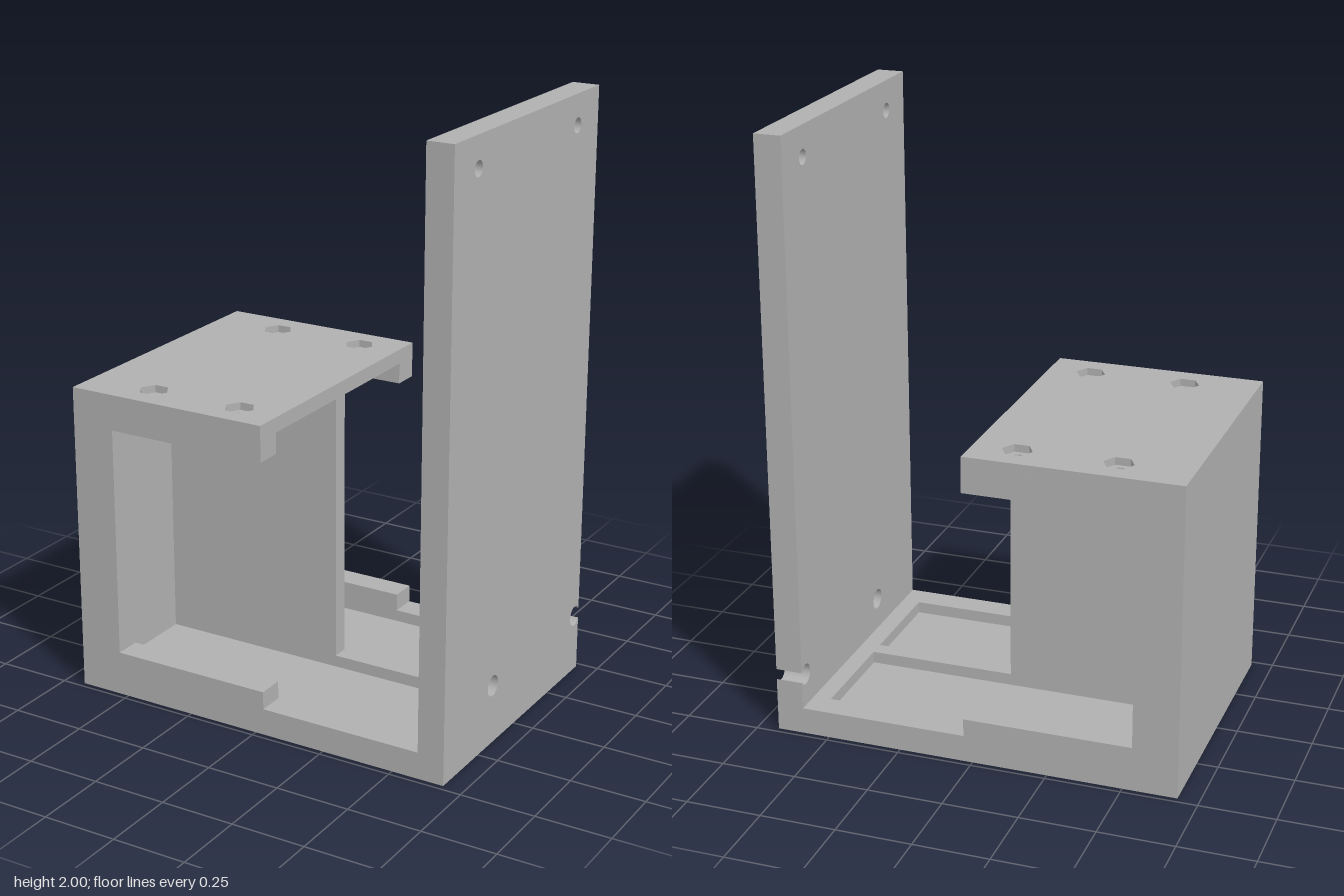
import * as THREE from 'three';

const grey = new THREE.MeshStandardMaterial({ color: 0xb0b0b0 });
grey.name = 'grey plastic';

const polygon = (pts) => new THREE.Shape(pts.map(([x, y]) => new THREE.Vector2(x, y)));
const extrude = (shape, depth) =>
  new THREE.ExtrudeGeometry(shape, { depth, bevelEnabled: false, curveSegments: 24 });

function circleHole(x, y, r) {
  const hole = new THREE.Path();
  hole.absarc(x, y, r, 0, Math.PI * 2, true);
  return hole;
}

function hexHole(x, y, r) {
  const pts = [];
  for (let i = 0; i < 6; i++) {
    const a = -i * Math.PI / 3;
    pts.push(new THREE.Vector2(x + r * Math.cos(a), y + r * Math.sin(a)));
  }
  return new THREE.Path(pts);
}

export function createModel() {
  const group = new THREE.Group();
  group.name = 'mountingBracket';
  const add = (name, geometry) => {
    const mesh = new THREE.Mesh(geometry, grey);
    mesh.name = name;
    group.add(mesh);
  };

  // Key sizes
  const left = -0.68, right = 0.68, plateX = 0.59, boxX = 0.03;
  const half = 0.48, bayOut = 0.39, bayIn = 0.028;
  const floorY = 0.09, roofLow = 1.0, nutY = 1.025, roofTop = 1.05;

  // Slices of the body, cut along z
  const frame = [[left, 0], [plateX, 0], [plateX, floorY], [boxX, floorY], [boxX, 0.15], [-0.53, 0.15],
    [-0.53, 0.93], [boxX, 0.93], [boxX, roofLow], [left, roofLow]];
  const bay = [[left, 0], [plateX, 0], [plateX, floorY], [0.53, floorY], [0.53, 0.05], [-0.62, 0.05],
    [-0.62, roofLow], [left, roofLow]];
  const divider = [[left, 0], [plateX, 0], [plateX, floorY], [boxX, floorY], [boxX, roofLow], [left, roofLow]];
  const slice = (name, pts, z0, z1) => add(name, extrude(polygon(pts), z1 - z0).translate(0, 0, z0));

  slice('frontFrame', frame, bayOut, half);
  slice('frontBay', bay, bayIn, bayOut);
  slice('dividerWall', divider, -bayIn, bayIn);
  slice('backBay', bay, -bayOut, -bayIn);
  slice('backFrame', frame, -half, -bayOut);

  // Roof in two layers: screw holes below, hexagonal nut pockets above
  const roofLayer = (name, makeHole, r, y0, y1) => {
    const shape = polygon([[left, -half], [boxX, -half], [boxX, half], [left, half]]);
    for (const x of [-0.44, -0.115])
      for (const z of [-0.371, 0.371]) shape.holes.push(makeHole(x, z, r));
    add(name, extrude(shape, y1 - y0).rotateX(-Math.PI / 2).translate(0, y0, 0));
  };
  roofLayer('roofScrewLayer', circleHole, 0.025, roofLow, nutY);
  roofLayer('roofNutLayer', hexHole, 0.05, nutY, roofTop);

  // Tall plate, drawn as (-z, y), with a round notch breaking through its back edge
  const r = 0.035, notchZ = 0.45;
  const a = Math.acos((half - notchZ) / r);
  const plate = new THREE.Shape();
  plate.moveTo(-half, 0);
  plate.lineTo(half, 0);
  plate.absarc(notchZ, 0.2, r, -a, a, true);
  plate.lineTo(half, 2);
  plate.lineTo(-half, 2);
  plate.holes.push(circleHole(-0.155, 0.2, r), circleHole(-0.331, 1.9, 0.025), circleHole(0.331, 1.9, 0.025));
  add('tallPlate', extrude(plate, right - plateX).rotateY(Math.PI / 2).translate(plateX, 0, 0));

  return group;
}
